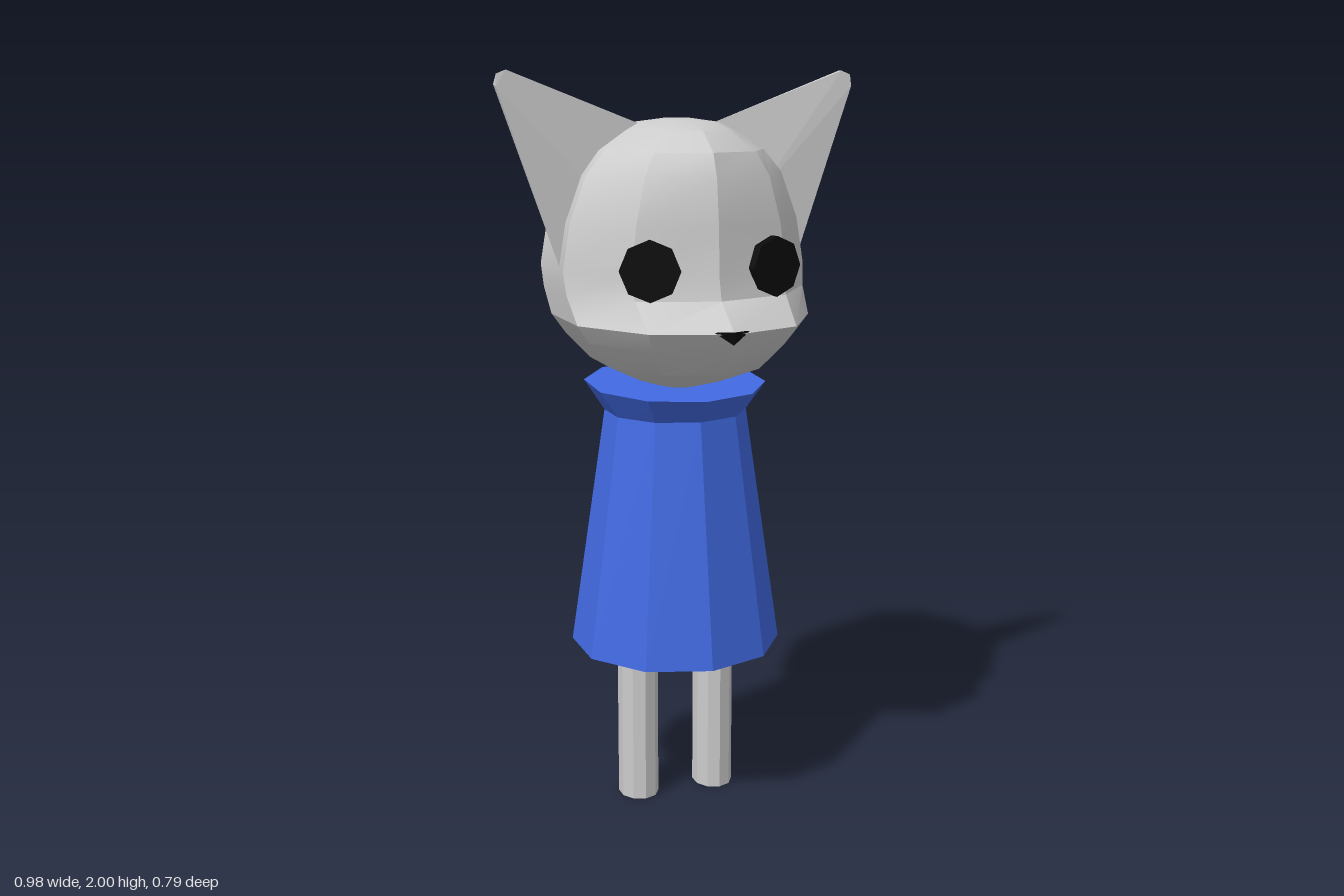
import * as THREE from 'three';
import { toCreasedNormals } from 'three/addons/utils/BufferGeometryUtils.js';
import { ConvexGeometry } from 'three/addons/geometries/ConvexGeometry.js';

const SIDES = 10;
const grey = new THREE.MeshStandardMaterial({ color: 0xcccccc });
const blue = new THREE.MeshStandardMaterial({ color: 0x4169e1 });
const black = new THREE.MeshStandardMaterial({ color: 0x0a0a0a });

// Closed loft through ten-sided rings, bottom to top.
// Ring: [y, half width, back z, front z, optional y rise towards the back]
function loft(rings, crease) {
  const pos = [], index = [];
  for (const [y, w, zb, zf, rise = 0] of rings) {
    const mid = (zf + zb) / 2, depth = (zf - zb) / 2;
    for (let j = 0; j < SIDES; j++) {
      const a = (j / SIDES) * Math.PI * 2;
      pos.push((w / 0.951) * Math.sin(a), y - rise * Math.cos(a), mid + depth * Math.cos(a));
    }
  }
  const last = rings.length - 1;
  const bottom = pos.length / 3, top = bottom + 1;
  for (const r of [rings[0], rings[last]]) pos.push(0, r[0], (r[2] + r[3]) / 2);
  for (let j = 0; j < SIDES; j++) {
    const k = (j + 1) % SIDES;
    for (let i = 0; i < last; i++) {
      const p = i * SIDES, q = p + SIDES;
      index.push(p + j, p + k, q + k, p + j, q + k, q + j);
    }
    index.push(bottom, k, j, top, last * SIDES + j, last * SIDES + k);
  }
  const g = new THREE.BufferGeometry();
  g.setAttribute('position', new THREE.Float32BufferAttribute(pos, 3));
  g.setIndex(index);
  return toCreasedNormals(g, crease);
}

export function createModel() {
  const model = new THREE.Group();
  const add = (name, geometry, material, parent = model) => {
    const mesh = new THREE.Mesh(geometry, material);
    mesh.name = name;
    parent.add(mesh);
    return mesh;
  };

  // Head with the snout pulled forward in the lower rings
  const head = new THREE.Group();
  head.name = 'head';
  model.add(head);
  add('skull', loft([
    [1.18, 0.06, -0.10, 0.06],
    [1.20, 0.12, -0.21, 0.14],
    [1.25, 0.22, -0.30, 0.28],
    [1.32, 0.285, -0.355, 0.355],
    [1.37, 0.32, -0.385, 0.39],
    [1.44, 0.33, -0.39, 0.30],
    [1.50, 0.335, -0.395, 0.285],
    [1.62, 0.315, -0.39, 0.28],
    [1.74, 0.27, -0.37, 0.265],
    [1.80, 0.22, -0.33, 0.24],
    [1.85, 0.14, -0.24, 0.17],
    [1.87, 0.10, -0.15, 0.10],
    [1.88, 0.03, -0.06, 0.02],
  ], 0.42), grey, head);

  // Nose: thin downward triangle bent around the snout tip
  add('nose', new ConvexGeometry([
    [-0.047, 1.375, 0.372], [0.047, 1.375, 0.372], [0, 1.375, 0.395],
    [0, 1.342, 0.382], [0, 1.36, 0.34],
  ].map(p => new THREE.Vector3(...p))), black, head);

  for (const [side, s] of [['left', 1], ['right', -1]]) {
    // Ears: flat in front, ridged behind, with a blunt tip
    add(side + 'Ear', new ConvexGeometry([
      [0.10, 1.865, -0.025], [0.26, 1.73, -0.072], [0.29, 1.62, -0.038],
      [0.33, 1.50, 0.012], [0.22, 1.68, 0.012],
      [0.457, 2.0, -0.008], [0.46, 2.0, 0.006], [0.485, 1.99, 0.006],
      [0.49, 1.965, -0.006], [0.487, 1.96, 0.01],
    ].map(([x, y, z]) => new THREE.Vector3(s * x, y, z))), grey, head);

    // Eyes: eight-sided discs lying on the slanted face
    const disc = new THREE.CylinderGeometry(0.077, 0.077, 0.026, 8);
    disc.rotateX(Math.PI / 2);
    const eye = add(side + 'Eye', toCreasedNormals(disc, 0.5), black, head);
    eye.position.set(s * 0.167, 1.515, 0.241);
    eye.rotation.y = s * 0.3;

    // Legs
    const post = new THREE.CylinderGeometry(0.063, 0.063, 0.5, SIDES);
    post.scale(0.88, 1, 1);
    const leg = add(side + 'Leg', toCreasedNormals(post, 0.5), grey);
    leg.position.set(s * 0.112, 0.25, -0.033);
  }

  // Coat and its flared, slightly tilted collar
  add('coat', loft([
    [0.45, 0.275, -0.32, 0.255],
    [1.105, 0.183, -0.225, 0.16],
  ], 0.3), blue);
  add('collar', loft([
    [1.105, 0.183, -0.225, 0.16],
    [1.183, 0.235, -0.275, 0.205, 0.015],
  ], 0.3), blue);

  return model;
}
